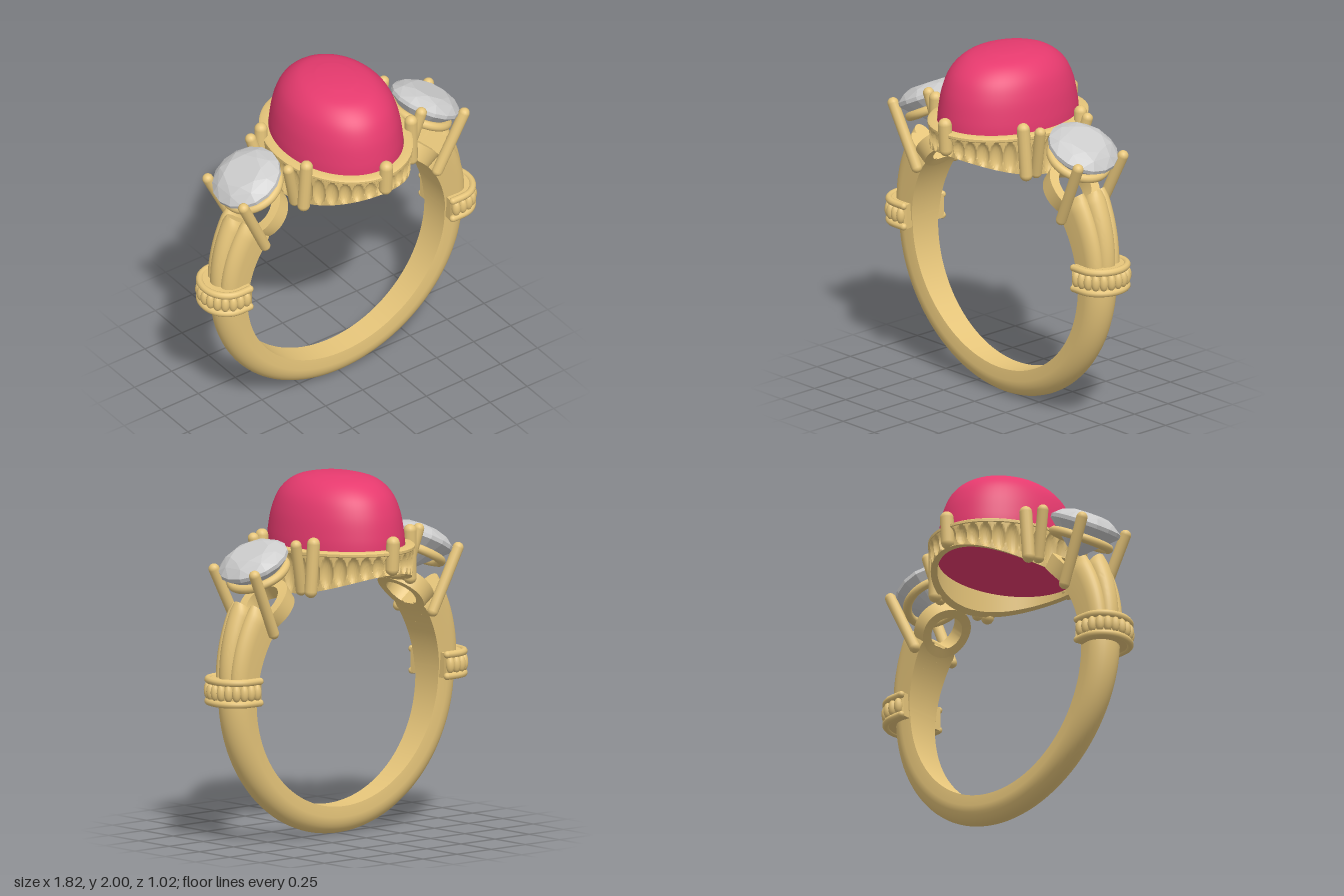
import * as THREE from 'three';
import { toCreasedNormals } from 'three/addons/utils/BufferGeometryUtils.js';
import { ConvexGeometry } from 'three/addons/geometries/ConvexGeometry.js';

const gold = new THREE.MeshStandardMaterial({ color: 0xe6c57a });
const red = new THREE.MeshStandardMaterial({ color: 0xe63a6e });
const grey = new THREE.MeshStandardMaterial({ color: 0xcccccc, flatShading: true });
const CY = 0.82, RI = 0.665; // centre height and inner radius of the finger hole
const V = (x, y, z) => new THREE.Vector3(x, y, z);
const lerp = THREE.MathUtils.lerp, rad = THREE.MathUtils.degToRad;

function add(parent, name, geometry, material = gold) {
  const mesh = new THREE.Mesh(geometry, material);
  mesh.name = name;
  parent.add(mesh);
  return mesh;
}

// Skin a row of closed sections, optionally capping both ends
function loft(rows, caps, crease = 0.7) {
  const n = rows[0].length, pos = [], idx = [];
  rows.forEach(row => row.forEach(p => pos.push(p.x, p.y, p.z)));
  for (let i = 0; i < rows.length - 1; i++) for (let j = 0; j < n; j++) {
    const a = i * n + j, b = i * n + (j + 1) % n;
    idx.push(a, b, a + n, b, b + n, a + n);
  }
  if (caps) [0, rows.length - 1].forEach((r, end) => {
    const c = rows[r].reduce((s, p) => s.add(p), V(0, 0, 0)).divideScalar(n);
    const k = pos.push(c.x, c.y, c.z) / 3 - 1;
    for (let j = 0; j < n; j++) {
      const a = r * n + j, b = r * n + (j + 1) % n;
      end ? idx.push(k, a, b) : idx.push(k, b, a);
    }
  });
  const g = new THREE.BufferGeometry();
  g.setAttribute('position', new THREE.Float32BufferAttribute(pos, 3));
  g.setIndex(idx);
  return toCreasedNormals(g, crease);
}

// Sweep a D-shaped section round the finger; at(t) gives outer radius, shoulder radius, z centre and half width
function band(a0, a1, steps, at) {
  const rows = [];
  for (let i = 0; i <= steps; i++) {
    const t = i / steps, th = rad(lerp(a0, a1, t)), s = at(t), row = [];
    const put = (r, z) => row.push(V(r * Math.cos(th), CY + r * Math.sin(th), z));
    put(RI, s.z + s.w * 0.92);
    for (let j = 0; j <= 16; j++) {
      const a = Math.PI * (j / 16 - 0.5);
      put(s.base + (s.outer - s.base) * Math.cos(a), s.z - s.w * Math.sin(a));
    }
    put(RI, s.z - s.w * 0.92);
    rows.push(row);
  }
  return loft(rows, true);
}

// Rounded claw between two points
function prong(parent, name, a, b, r) {
  const m = add(parent, name, new THREE.CapsuleGeometry(r, a.distanceTo(b) - 2 * r, 6, 14));
  m.position.copy(a).add(b).multiplyScalar(0.5);
  m.quaternion.setFromUnitVectors(V(0, 1, 0), b.clone().sub(a).normalize());
}

// Oval wall with scooped flutes, its lower edge following the finger hole
function bezelGeometry() {
  const flutes = 36, per = 14, down = 14, rows = [];
  for (let i = 0; i <= flutes * per; i++) {
    const u = i / (flutes * per) * Math.PI * 2, c = Math.cos(u), s = -Math.sin(u);
    const floor = x => CY + Math.sqrt(RI * RI - x * x);
    const row = [V(0.338 * c, 1.62, 0.43 * s), V(0.375 * c, 1.62, 0.472 * s),
      V(0.387 * c, 1.612, 0.484 * s), V(0.387 * c, 1.598, 0.484 * s)];
    const bottom = floor(0.37 * c), du = ((i % per) / per - 0.5) * 2.15;
    for (let j = 0; j <= down; j++) {
      const v = j / down, dv = (v - 0.5) * 2.15;
      const scoop = 0.028 * Math.sqrt(Math.max(0, 1 - du * du - dv * dv));
      const off = -0.012 * v - scoop;
      row.push(V((0.383 + off) * c, lerp(1.594, bottom, v), (0.48 + off) * s));
    }
    row.push(V(0.338 * c, floor(0.338 * c), 0.43 * s));
    rows.push(row);
  }
  return loft(rows, false, 0.6);
}

// Faceted round stone, axis on y
function brilliantGeometry() {
  const pts = [];
  const circle = (n, r, y, turn) => {
    for (let i = 0; i < n; i++) {
      const a = (i + turn) / n * Math.PI * 2;
      pts.push(V(r * Math.cos(a), y, r * Math.sin(a)));
    }
  };
  circle(8, 0.11, 0.066, 0);
  circle(8, 0.158, 0.047, 0.5);
  circle(16, 0.2, 0.01, 0);
  circle(16, 0.2, -0.012, 0);
  circle(8, 0.105, -0.09, 0.5);
  circle(8, 0.03, -0.165, 0);
  return new ConvexGeometry(pts);
}

// Round washer bent onto the finger circle, carrying the side stone
function seatGeometry() {
  const p = [[0.1, 0], [0.155, 0], [0.155, 0.09], [0.1, 0.09], [0.1, 0]].map(q => new THREE.Vector2(...q));
  const g = new THREE.LatheGeometry(p, 48), a = g.attributes.position;
  for (let i = 0; i < a.count; i++) {
    const r = RI + a.getY(i), th = rad(44) - a.getX(i) / 0.71;
    a.setXYZ(i, r * Math.cos(th), CY + r * Math.sin(th), a.getZ(i));
  }
  return toCreasedNormals(g, 0.6);
}

// Beaded collar wrapped round the shank
function collar(parent) {
  const group = new THREE.Group();
  group.name = 'collar';
  parent.add(group);
  const pts = [V(0.685, 0, -0.145)];
  for (let i = 0; i <= 12; i++) {
    const a = Math.PI * (i / 12 - 0.5);
    pts.push(V(0.755 + 0.13 * Math.cos(a), 0, 0.145 * Math.sin(a)));
  }
  pts.push(V(0.685, 0, 0.145));
  const path = new THREE.CatmullRomCurve3(pts);
  const shape = new THREE.Shape(pts.map(p => new THREE.Vector2(p.x, -p.z * 0.97)));
  shape.lineTo(0.668, 0.14);
  shape.lineTo(0.668, -0.14);
  const core = add(group, 'collarCore', new THREE.ExtrudeGeometry(shape, { depth: 0.14, bevelEnabled: false }));
  core.rotation.x = -Math.PI / 2;
  core.position.y = 0.8;
  for (const y of [0.81, 0.93]) {
    add(group, 'collarRim', new THREE.TubeGeometry(path, 48, 0.02, 10)).position.y = y;
    for (const s of [-1, 1])
      add(group, 'rimEnd', new THREE.SphereGeometry(0.02, 10, 8)).position.set(0.685, y, s * 0.145);
  }
  for (let i = 0; i < 13; i++) {
    const bead = add(group, 'bead', new THREE.SphereGeometry(0.025, 14, 10));
    bead.position.copy(path.getPointAt((i + 0.5) / 13)).setY(0.87);
    bead.scale.y = 1.9;
  }
}

function shoulder() {
  const g = new THREE.Group();
  g.name = 'shoulder';
  // Three flaring petals rising from the collar
  add(g, 'middlePetal', band(2, 36.5, 24, t => ({
    outer: lerp(0.832, 0.908, t), base: lerp(0.79, 0.845, t), z: 0, w: lerp(0.05, 0.062, t) * (t > 0.93 ? 1 - (t - 0.93) * 4 : 1) })));
  for (const s of [-1, 1]) add(g, 'sidePetal', band(2, 37.5, 24, t => ({
    outer: lerp(0.815, 0.86, t), base: lerp(0.75, 0.78, t), z: s * lerp(0.055, 0.078, t),
    w: lerp(0.05, 0.056, t) * (t > 0.9 ? 1 - (t - 0.9) * 3 : 1) })));
  collar(g);
  // Side stone and its basket, tilted outwards
  const basket = new THREE.Group();
  basket.name = 'sideSetting';
  basket.position.set(0.605, 1.57, 0);
  basket.rotation.z = -rad(27);
  g.add(basket);
  add(basket, 'sideStone', brilliantGeometry(), grey);
  const hoop = add(basket, 'basketRing', new THREE.TorusGeometry(0.16, 0.025, 12, 48));
  hoop.rotation.x = Math.PI / 2;
  hoop.position.y = -0.08;
  add(g, 'stoneSeat', seatGeometry());
  for (const s of [-1, 1]) {
    prong(g, 'outerProng', V(0.57, 1.155, s * 0.14), V(0.758, 1.55, s * 0.17), 0.031);
    prong(g, 'innerProng', V(0.375, 1.375, s * 0.14), V(0.457, 1.69, s * 0.18), 0.031);
  }
  return g;
}

export function createModel() {
  const model = new THREE.Group();
  model.name = 'ring';
  // Lower shank, widening towards the sides
  add(model, 'shank', band(-184, 4, 96, t => {
    const k = Math.sin(Math.PI * t);
    return { outer: 0.82 + 0.008 * (1 - k), base: 0.725, z: 0, w: lerp(0.106, 0.074, k) };
  }));
  // Oval domed stone
  const dome = [[0.337, 1.6], [0.332, 1.68], [0.312, 1.8], [0.272, 1.9], [0.2, 1.97], [0.1, 2]];
  const curve = new THREE.SplineCurve(dome.map(p => new THREE.Vector2(...p))).getPoints(30);
  const profile = [[0, 1.52], [0.337, 1.52]].map(p => new THREE.Vector2(...p)).concat(curve, new THREE.Vector2(0, 2));
  const stone = toCreasedNormals(new THREE.LatheGeometry(profile, 72).scale(1, 1, 1.27), 0.7);
  add(model, 'centreStone', stone, red);
  // Bezel with six claws
  add(model, 'bezel', bezelGeometry());
  for (const s of [-1, 1]) {
    prong(model, 'endClaw', V(0, 1.48, s * 0.462), V(0, 1.7, s * 0.474), 0.038);
    for (const x of [-1, 1])
      prong(model, 'cornerClaw', V(x * 0.365, 1.365, s * 0.2), V(x * 0.352, 1.7, s * 0.215), 0.036);
  }
  // Matching shoulders
  const left = shoulder(), right = shoulder();
  left.name = 'leftShoulder';
  right.name = 'rightShoulder';
  right.rotation.y = Math.PI;
  model.add(left, right);
  return model;
}
